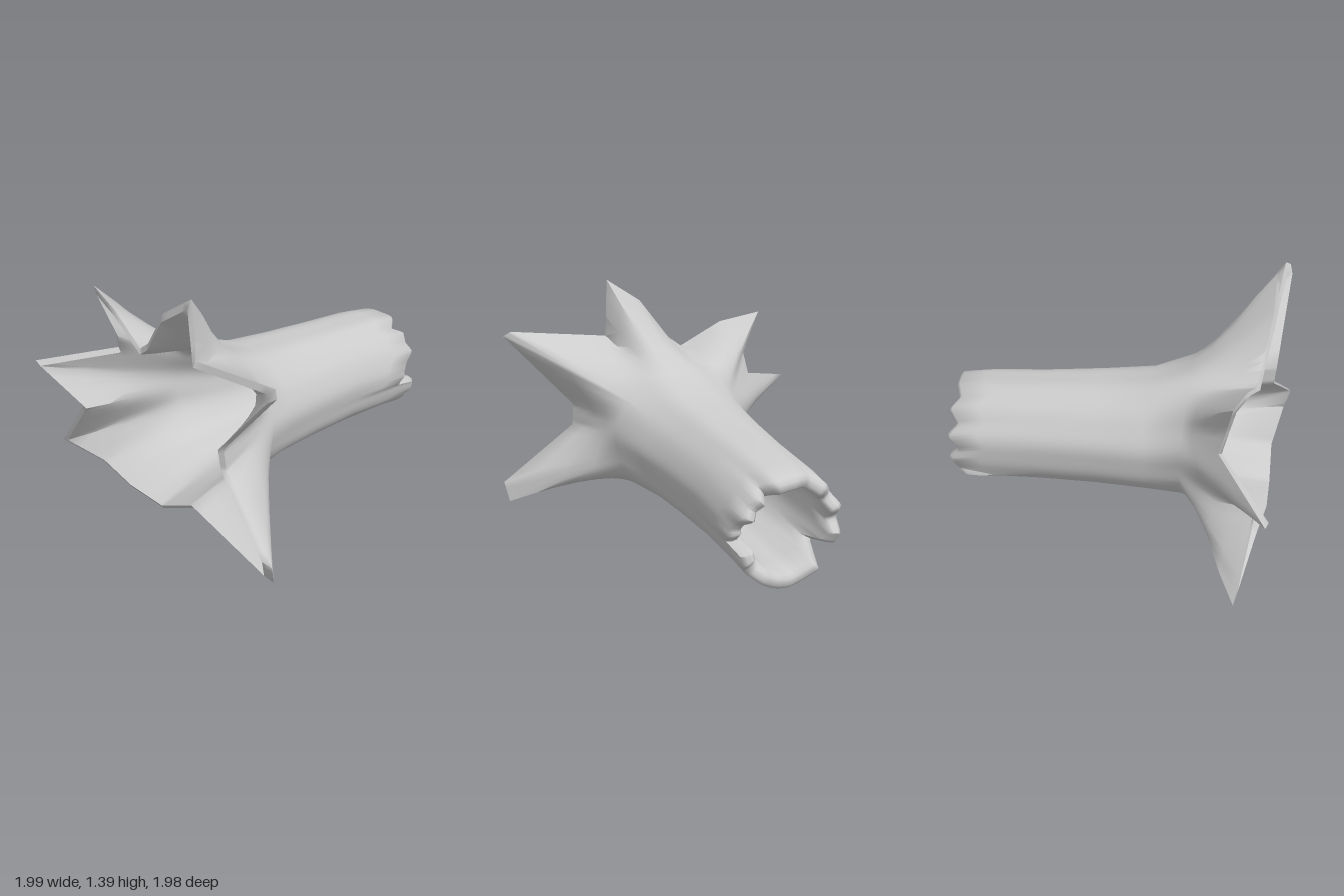
import * as THREE from 'three';
import { toCreasedNormals } from 'three/addons/utils/BufferGeometryUtils.js';

// Torn root rim: x, y, z of each spike tip and valley, in order round the axis
const RIM = [
  [-0.93, 1.09, 0.97], [-0.9, 1.12, 0.93], [-0.86, 1.04, 0.33], [-0.87, 1.39, 0.31],
  [-0.87, 1.24, 0.09], [-0.83, 0.99, -0.09], [-0.82, 0.93, -0.17], [-0.78, 1.07, -0.43],
  [-0.72, 1.12, -0.68], [-0.68, 0.87, -0.55], [-0.65, 0.74, -0.57], [-0.94, 0.61, -0.99],
  [-0.86, 0.4, -0.66], [-0.8, 0.02, -0.97], [-0.87, 0.1, -0.5], [-0.91, 0.07, -0.2],
  [-0.91, 0.05, 0.08], [-0.9, 0.16, 0.33], [-0.95, 0.02, 0.97], [-0.985, 0.14, 0.99],
  [-0.88, 0.49, 0.56], [-0.89, 0.62, 0.55],
];
// Trunk sections: x, centre y, centre z, half height, half width, inner scale
const TRUNK = [
  [0.99, 0.322, 0.045, 0.317, 0.32, 0.76],
  [0.75, 0.348, 0.04, 0.322, 0.32, 0.76],
  [0.45, 0.38, 0.03, 0.33, 0.32, 0.76],
  [0.1, 0.415, 0.025, 0.34, 0.345, 0.76],
  [-0.2, 0.445, 0.02, 0.355, 0.38, 0.78],
  [-0.42, 0.49, 0.03, 0.4, 0.43, 0.85],
];
// Broken trunk end: angle in degrees (0 = +z, 90 = +y) and x of the edge
const BREAK = [
  [0, 0.88], [6, 0.87], [15, 0.9], [24, 0.98], [36, 0.95], [48, 0.98], [58, 0.91], [70, 0.99],
  [95, 0.98], [115, 0.94], [130, 0.99], [146, 0.93], [160, 0.99], [176, 0.91], [190, 0.98],
  [204, 0.94], [213, 0.73], [222, 0.82], [234, 0.96], [262, 0.95], [285, 0.98], [305, 0.98],
  [318, 0.93], [328, 0.94], [334, 0.99], [345, 0.98], [352, 0.82], [360, 0.88],
];
const CENTRE_Y = 0.45, CENTRE_Z = 0.05;
const lerp = THREE.MathUtils.lerp;

function breakX(angle) {
  const d = THREE.MathUtils.euclideanModulo(angle * 180 / Math.PI, 360);
  const k = Math.max(1, BREAK.findIndex((b) => b[0] >= d));
  const [a0, x0] = BREAK[k - 1], [a1, x1] = BREAK[k];
  return lerp(x0, x1, (d - a0) / (a1 - a0));
}

// Subdivide the rim, keeping a steadily increasing angle for each column
function makeColumns() {
  const angles = [];
  for (const [, y, z] of RIM) {
    let a = Math.atan2(y - CENTRE_Y, z - CENTRE_Z);
    while (angles.length && a < angles[angles.length - 1]) a += Math.PI * 2;
    angles.push(a);
  }
  const columns = [];
  RIM.forEach((p, i) => {
    const n = (i + 1) % RIM.length;
    const end = angles[n] + (n === 0 ? Math.PI * 2 : 0);
    const steps = Math.max(3, Math.ceil((end - angles[i]) / 0.06));
    for (let s = 0; s < steps; s++) {
      const t = s / steps;
      columns.push({ rim: p.map((v, k) => lerp(v, RIM[n][k], t)), angle: lerp(angles[i], end, t) });
    }
  });
  return columns;
}

// Rim position averaged over neighbouring columns, so folds fade towards the trunk
function softRim(columns, j, reach) {
  const sum = [0, 0, 0];
  for (let o = -reach; o <= reach; o++) {
    const { rim } = columns[(j + o + columns.length) % columns.length];
    rim.forEach((v, k) => { sum[k] += v / (2 * reach + 1); });
  }
  return sum;
}

// Point on a trunk section, with shallow bark furrows
function trunkPoint(section, angle, scale) {
  const [x, cy, cz, ry, rz] = section;
  const r = scale * (1 + 0.01 * Math.sin(7 * angle) + 0.006 * Math.sin(11 * angle + 1));
  return [x, cy + ry * r * Math.sin(angle), cz + rz * r * Math.cos(angle)];
}

// One side of the wall along a column, from the broken end to the root rim
function wallPath(columns, j, inner) {
  const { angle } = columns[j];
  const edge = breakX(angle);
  const path = TRUNK.map((section, i) => {
    const p = trunkPoint(section, angle, inner ? section[5] : 1);
    if (i === 0) p[0] = edge - 0.02;
    if (i === 1) p[0] = edge - 0.18;
    return p;
  });
  const start = path[path.length - 1];
  const k = inner ? 0.94 : 1;
  [0.25, 0.5, 0.75, 1].forEach((t, i) => {
    const [x, y, z] = softRim(columns, j, Math.max(0, 2 - i));
    const w = Math.pow(t, 1.07);
    path.push([
      lerp(start[0], x, t) - (inner ? 0.015 * t : 0),
      lerp(start[1], lerp(CENTRE_Y, y, k), w),
      lerp(start[2], lerp(CENTRE_Z, z, k), w),
    ]);
  });
  return path;
}

function makeLogGeometry() {
  const columns = makeColumns();
  const paths = columns.map(({ angle }, j) => {
    // Rounded lip closes the wall at the broken end
    const lip = [0.93, 0.82].map((s) => {
      const p = trunkPoint(TRUNK[0], angle, s);
      p[0] = breakX(angle);
      return p;
    });
    return [lip[0], ...wallPath(columns, j, false), ...wallPath(columns, j, true).reverse(), lip[1]];
  });
  const rows = paths[0].length, cols = paths.length;
  const index = [];
  for (let j = 0; j < cols; j++) {
    for (let i = 0; i < rows; i++) {
      const j2 = (j + 1) % cols, i2 = (i + 1) % rows;
      const a = j * rows + i, b = j2 * rows + i, c = j * rows + i2, d = j2 * rows + i2;
      index.push(a, b, c, b, d, c);
    }
  }
  const geometry = new THREE.BufferGeometry();
  geometry.setAttribute('position', new THREE.Float32BufferAttribute(paths.flat(2), 3));
  geometry.setIndex(index);
  return toCreasedNormals(geometry, 1.2);
}

export function createModel() {
  const group = new THREE.Group();
  group.name = 'hollowLog';
  const wood = new THREE.MeshStandardMaterial({ color: 0xcccccc, side: THREE.DoubleSide });
  const log = new THREE.Mesh(makeLogGeometry(), wood);
  log.name = 'trunkWithRoots';
  group.add(log);
  return group;
}
